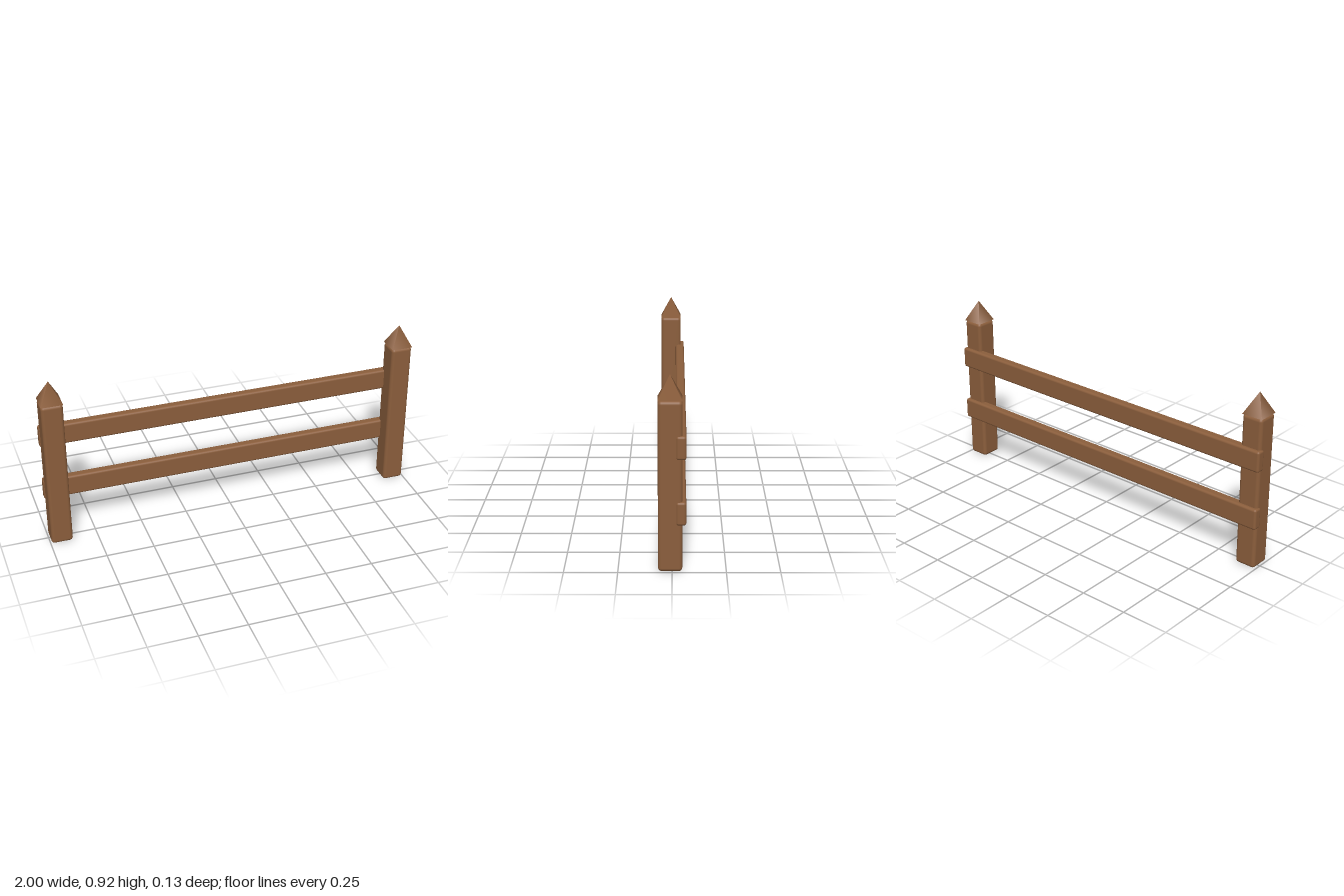
import * as THREE from 'three';
import { RoundedBoxGeometry } from 'three/addons/geometries/RoundedBoxGeometry.js';

export function createModel() {
  const fence = new THREE.Group();
  fence.name = 'fence';
  const wood = new THREE.MeshStandardMaterial({ color: 0x8b5e3c });
  wood.name = 'brownWood';

  const add = (name, geometry, x, y, z) => {
    const mesh = new THREE.Mesh(geometry, wood);
    mesh.name = name;
    mesh.position.set(x, y, z);
    fence.add(mesh);
  };

  const postWidth = 0.112, postHeight = 0.812, postZ = 0.009, capHeight = 0.112;

  // Rounded square posts with smooth-shaded pyramid caps
  const postGeometry = new RoundedBoxGeometry(postWidth, postHeight, postWidth, 4, 0.017);
  const capGeometry = new THREE.ConeGeometry(postWidth / Math.SQRT2, capHeight, 4);
  capGeometry.rotateY(Math.PI / 4);
  for (const [side, x] of [['left', 0.938], ['right', -0.938]]) {
    add(side + 'Post', postGeometry, x, postHeight / 2, postZ);
    add(side + 'PostCap', capGeometry, x, postHeight + capHeight / 2, postZ);
  }

  // Two long rails let into the back of the posts
  const railGeometry = new RoundedBoxGeometry(2, 0.112, 0.047, 4, 0.012);
  add('lowerRail', railGeometry, 0, 0.283, -0.0415);
  add('upperRail', railGeometry, 0, 0.595, -0.0415);

  return fence;
}
